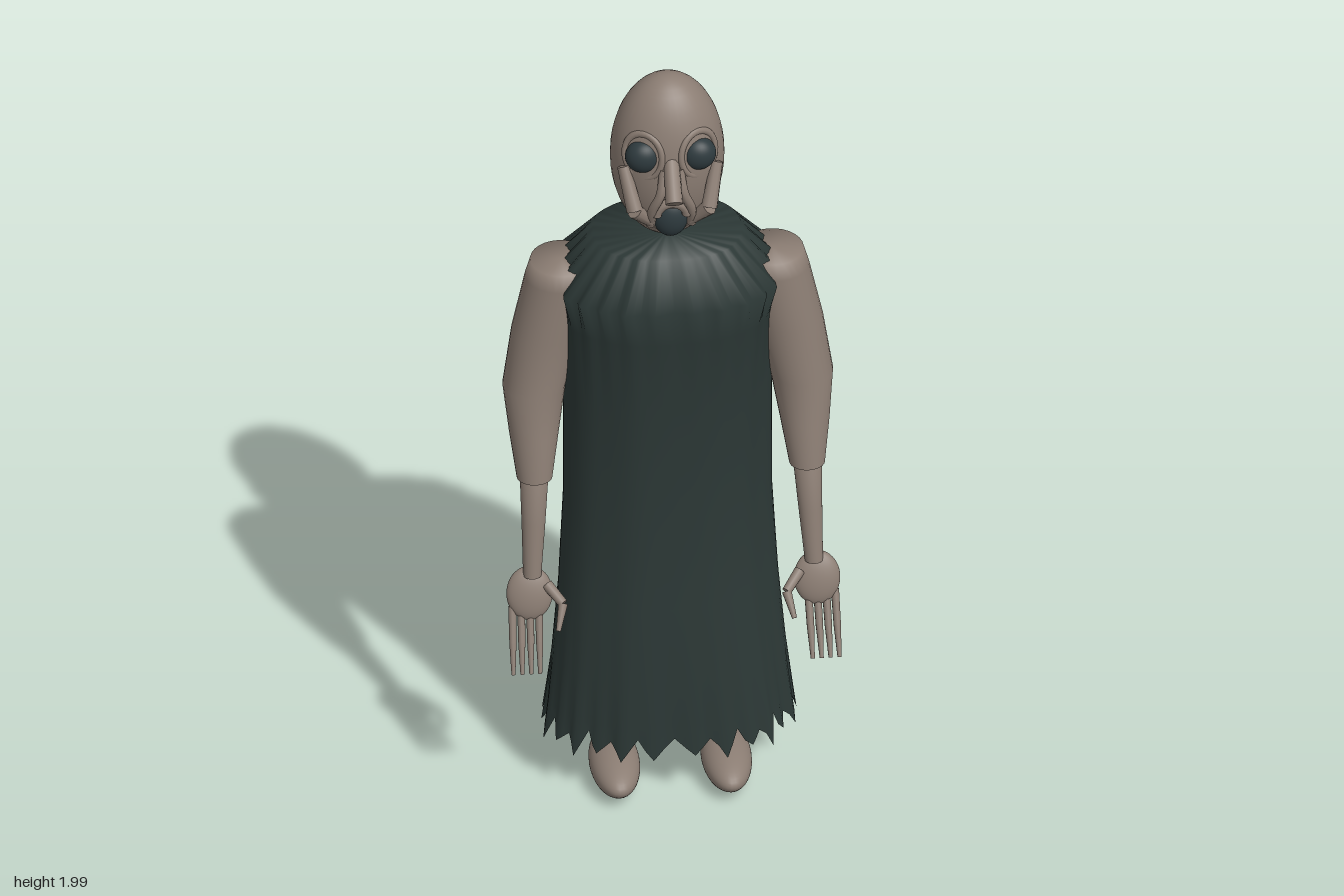
import * as THREE from 'three';

const skin = new THREE.MeshStandardMaterial({ color: 0x8b7d73 });
skin.name = 'skin';
const cloth = new THREE.MeshStandardMaterial({ color: 0x2c3836, side: THREE.DoubleSide });
cloth.name = 'cloth';
const dark = new THREE.MeshStandardMaterial({ color: 0x2e3a3e });
dark.name = 'darkEye';

const V = (x, y, z) => new THREE.Vector3(x, y, z);

function add(parent, name, geo, mat, pos) {
  const m = new THREE.Mesh(geo, mat);
  m.name = name;
  if (pos) m.position.set(...pos);
  parent.add(m);
  return m;
}

// Skin over closed rings listed from top to bottom; point(ring, j, i) gives [x, y, z]
function loft(rings, n, point) {
  const pos = [], idx = [];
  rings.forEach((r, i) => {
    for (let j = 0; j < n; j++) {
      pos.push(...point(r, j, i));
      if (i === rings.length - 1) continue;
      const a = i * n + j, b = i * n + (j + 1) % n;
      idx.push(a, b, a + n, b, b + n, a + n);
    }
  });
  const g = new THREE.BufferGeometry();
  g.setAttribute('position', new THREE.Float32BufferAttribute(pos, 3));
  g.setIndex(idx);
  g.computeVertexNormals();
  return g;
}

// Limb with closed ends; sections are [x, y, z, rx, rz]
function limb(sections) {
  const first = sections[0], last = sections[sections.length - 1];
  const centre = (s) => [s[0], s[1], s[2], 0, 0];
  return loft([centre(first), ...sections, last, centre(last)], 28, (s, j) => {
    const a = j / 28 * Math.PI * 2;
    return [s[0] + s[3] * Math.cos(a), s[1], s[2] + s[4] * Math.sin(a)];
  });
}

// Tapered rod between two points
function rod(parent, name, a, b, ra, rb, sides = 10) {
  const d = b.clone().sub(a);
  const m = add(parent, name, new THREE.CylinderGeometry(rb, ra, d.length(), sides), skin);
  m.position.copy(a).addScaledVector(d, 0.5);
  m.quaternion.setFromUnitVectors(V(0, 1, 0), d.normalize());
  return m;
}

function ellipsoid(parent, name, pos, r, mat) {
  const g = new THREE.SphereGeometry(1, 36, 24);
  g.scale(...r);
  return add(parent, name, g, mat, pos);
}

function tube(parent, name, pts, r) {
  return add(parent, name,
    new THREE.TubeGeometry(new THREE.CatmullRomCurve3(pts), 20, r, 8), skin);
}

// Softly folded robe with ragged shoulders and a torn hem
function robe() {
  const n = 104, teeth = 26;
  // [y, half width, front z, back z, tooth depth, fold depth, tuck of two corners]
  const rings = [
    [1.55, 0, 0, 0, 0, 0, 0],
    [1.55, 0.18, 0.13, -0.147, 0, 0.002, 0],
    [1.43, 0.279, 0.187, -0.219, 0.009, 0.005, 0],
    [1.33, 0.263, 0.172, -0.215, 0.001, 0.004, 0.02],
    [1.1, 0.252, 0.152, -0.205, 0, 0.004, 0.06],
    [0.8, 0.252, 0.147, -0.194, 0, 0.004, 0.08], [0.55, 0.265, 0.165, -0.19, 0, 0.005, 0.06],
    [0.35, 0.281, 0.178, -0.192, 0.001, 0.006, 0.03],
    [0.22, 0.293, 0.182, -0.197, 0.004, 0.008, 0.01],
    [0.158, 0.3, 0.184, -0.199, 0.008, 0.008, 0],
  ];
  const spread = (v) => Math.sign(v) * Math.abs(v) ** 0.85;
  return loft(rings, n, ([y, w, zf, zb, tooth, fold, tuck], j, i) => {
    const a = j / n * Math.PI * 2;
    const wave = Math.abs((j / n * teeth) % 1 - 0.5) * 4 - 1;
    const swell = 0.6 * Math.sin(7 * a + 1) + 0.4 * Math.sin(11 * a);
    const k = w ? 1 + (tooth * wave + fold * swell) / w
      - tuck * Math.max(0, Math.sin(2 * a)) : 1;
    // Tooth length varies around the hem
    const cut = i === rings.length - 1
      ? wave * (0.026 + 0.012 * Math.sin(Math.round(j / 4) * 2.7)) : 0;
    return [w * k * spread(Math.cos(a)), y - cut,
      (zf + zb) / 2 + (zf - zb) / 2 * k * spread(Math.sin(a))];
  });
}

function arm(root, s) {
  const g = new THREE.Group();
  g.name = s > 0 ? 'leftArm' : 'rightArm';
  root.add(g);
  add(g, 'upperArm', limb([
    [s * 0.255, 1.475, -0.014, 0.075, 0.078], [s * 0.26, 1.43, -0.014, 0.083, 0.083],
    [s * 0.292, 1.28, -0.01, 0.084, 0.082], [s * 0.323, 1.13, 0.005, 0.076, 0.077],
    [s * 0.327, 1.02, 0.045, 0.06, 0.059], [s * 0.329, 0.91, 0.082, 0.043, 0.04],
  ]), skin);
  add(g, 'forearm', limb([
    [s * 0.329, 0.94, 0.075, 0.036, 0.034], [s * 0.334, 0.8, 0.108, 0.029, 0.026],
    [s * 0.34, 0.66, 0.137, 0.022, 0.02],
  ]), skin);
  const palm = ellipsoid(g, 'palm', [s * 0.347, 0.612, 0.143], [0.056, 0.068, 0.023], skin);
  palm.rotation.x = -0.3;
  for (let i = 0; i < 4; i++) {
    const x = 0.325 + i * 0.0215;
    const knuckle = V(s * (x + 0.002), 0.5, 0.188);
    rod(g, 'fingerBase', V(s * x, 0.58, 0.15), knuckle, 0.01, 0.009);
    rod(g, 'fingerTip', knuckle, V(s * (x + 0.004), 0.43, 0.223), 0.009, 0.005);
  }
  const joint = V(s * 0.27, 0.603, 0.183);
  rod(g, 'thumbBase', V(s * 0.305, 0.635, 0.145), joint, 0.014, 0.012);
  rod(g, 'thumbTip', joint, V(s * 0.285, 0.55, 0.222), 0.012, 0.006);
}

function leg(root, s) {
  const g = new THREE.Group();
  g.name = s > 0 ? 'leftLeg' : 'rightLeg';
  root.add(g);
  add(g, 'shin', limb([
    [s * 0.125, 0.8, -0.02, 0.05, 0.05], [s * 0.135, 0.06, -0.03, 0.033, 0.033],
  ]), skin);
  ellipsoid(g, 'foot', [s * 0.135, 0.053, 0.067], [0.061, 0.047, 0.143], skin);
}

function face(root) {
  const g = new THREE.Group();
  g.name = 'face';
  root.add(g);
  for (const s of [1, -1]) {
    ellipsoid(g, 'eye', [s * 0.066, 1.825, 0.077], [0.044, 0.043, 0.035], dark);
    const rim = add(g, 'eyeSocket', new THREE.TorusGeometry(0.049, 0.008, 10, 32), skin,
      [s * 0.066, 1.828, 0.08]);
    rim.scale.y = 1.2;
    rim.rotation.set(-0.12, s * 0.5, 0);
    // Angular cheekbone running down to the mouth
    const corner = V(s * 0.09, 1.69, 0.112);
    rod(g, 'cheekbone', V(s * 0.113, 1.79, 0.065), corner, 0.015, 0.02);
    rod(g, 'cheek', corner, V(s * 0.048, 1.64, 0.09), 0.02, 0.012);
    tube(g, 'noseFold', [V(s * 0.018, 1.8, 0.105), V(s * 0.028, 1.74, 0.122),
      V(s * 0.046, 1.69, 0.112), V(s * 0.05, 1.63, 0.085)], 0.012);
  }
  rod(g, 'nose', V(0, 1.818, 0.093), V(0, 1.743, 0.17), 0.019, 0.021, 12);
  ellipsoid(g, 'mouth', [0, 1.645, 0.08], [0.042, 0.052, 0.029], dark);
  const lip = add(g, 'upperLip', new THREE.TorusGeometry(0.036, 0.012, 10, 24, Math.PI), skin,
    [0, 1.67, 0.108]);
  lip.rotation.x = 0.1;
  tube(g, 'lowerLip', [V(-0.05, 1.64, 0.08), V(0, 1.59, 0.066), V(0.05, 1.64, 0.08)], 0.009);
}

export function createModel() {
  const root = new THREE.Group();
  root.name = 'robedFigure';
  ellipsoid(root, 'head', [0, 1.775, -0.008], [0.138, 0.225, 0.119], skin);
  face(root);
  add(root, 'robe', robe(), cloth);
  for (const s of [1, -1]) {
    arm(root, s);
    leg(root, s);
  }
  return root;
}
